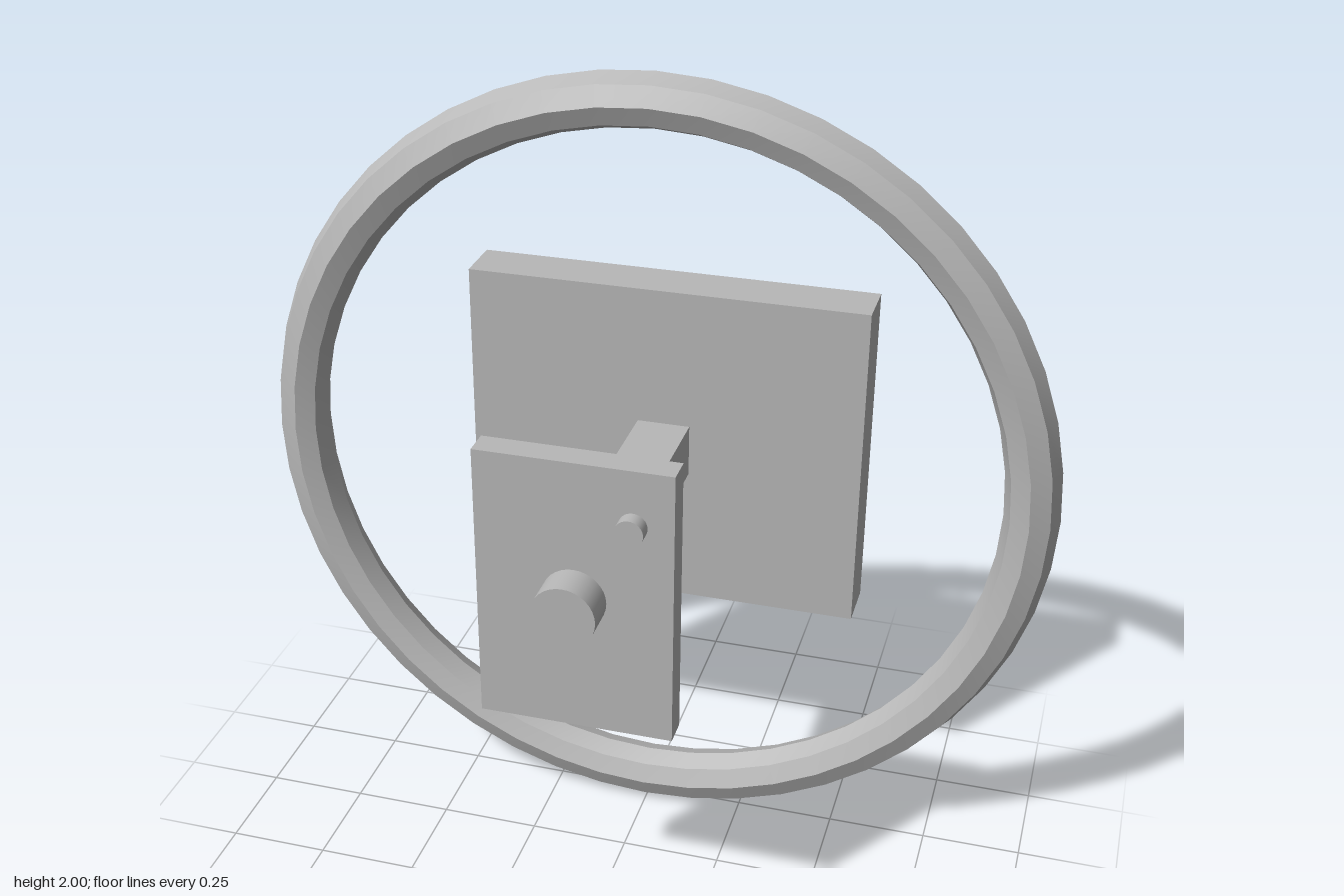
import * as THREE from 'three';
import { toCreasedNormals } from 'three/addons/utils/BufferGeometryUtils.js';

export function createModel() {
  const model = new THREE.Group();
  const grey = new THREE.MeshStandardMaterial({ color: 0xb8b8b8 });
  grey.name = 'grey';

  const add = (name, geometry, x, y, z) => {
    const mesh = new THREE.Mesh(geometry, grey);
    mesh.name = name;
    mesh.position.set(x, y, z);
    model.add(mesh);
  };
  // Parts given by their depth range along z
  const box = (name, w, h, z0, z1) =>
    add(name, new THREE.BoxGeometry(w, h, z1 - z0), 0, 1, (z0 + z1) / 2);
  const disc = (name, r, x, y, z0, z1) =>
    add(name, new THREE.CylinderGeometry(r, r, z1 - z0, 32).rotateX(Math.PI / 2), x, y, (z0 + z1) / 2);

  // Free-standing ring: eight-sided tube, smooth along its length
  add('ring', toCreasedNormals(new THREE.TorusGeometry(0.933, 0.067, 8, 48), 0.5), 0, 1, -0.246);

  // Plates joined by a square stem
  box('backPlate', 1.01, 0.85, -0.483, -0.35);
  box('stem', 0.134, 0.134, -0.35, 0.333);
  box('frontPlate', 0.456, 0.68, 0.333, 0.399);

  // Controls on the front plate
  disc('knob', 0.075, 0, 1, 0.399, 0.483);
  disc('button', 0.033, 0.135, 1.205, 0.399, 0.434);

  return model;
}
